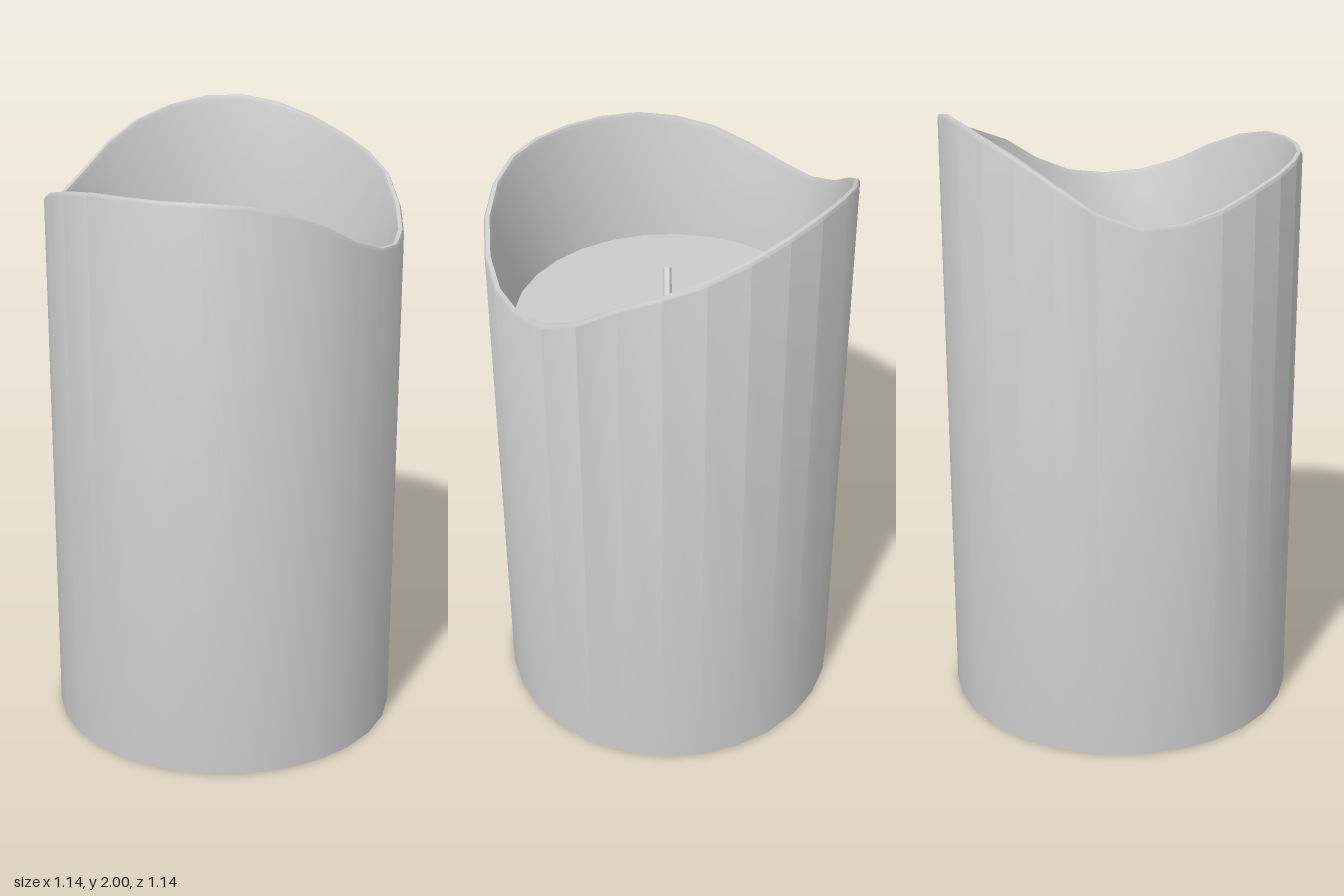
import * as THREE from 'three';
import { toCreasedNormals } from 'three/addons/utils/BufferGeometryUtils.js';

const SIDES = 28;
const FLOOR = 1.43;

// Rim heights every 15 degrees, starting at the front and turning towards +x
const RIM = [
  1.862, 1.862, 1.857, 1.825, 1.765, 1.69, 1.658, 1.66, 1.715, 1.805, 1.86, 1.91,
  1.96, 1.995, 1.998, 1.97, 1.92, 1.84, 1.755, 1.74, 1.77, 1.815, 1.845, 1.862,
];

// Smooth periodic interpolation of the rim heights
function rimHeight(angle) {
  const n = RIM.length;
  const s = ((angle / (2 * Math.PI)) * n + n) % n;
  const i = Math.floor(s), t = s - i;
  const [a, b, c, d] = [-1, 0, 1, 2].map((k) => RIM[(i + k + n) % n]);
  return b + 0.5 * t * (c - a + t * (2 * a - 5 * b + 4 * c - d + t * (3 * (b - c) + d - a)));
}

// Candle body: turned profile whose rim points (y near 2) follow the wavy edge
function bodyGeometry() {
  const profile = [
    [0, 0], [0.573, 0], [0.573, 1.99], [0.568, 2], [0.555, 2], [0.549, 1.985],
    [0.497, FLOOR], [0, FLOOR],
  ].map(([r, y]) => new THREE.Vector2(r, y));
  const geo = new THREE.LatheGeometry(profile, SIDES, Math.PI / SIDES);
  const pos = geo.attributes.position;
  for (let i = 0; i < pos.count; i++) {
    const y = pos.getY(i);
    if (y > 1.9) pos.setY(i, y - 2 + rimHeight(Math.atan2(pos.getX(i), pos.getZ(i))));
  }
  return toCreasedNormals(geo, Math.PI / 6);
}

export function createModel() {
  const group = new THREE.Group();
  group.name = 'candle';
  const material = new THREE.MeshStandardMaterial({ color: 0xcccccc });

  const body = new THREE.Mesh(bodyGeometry(), material);
  body.name = 'waxBody';
  group.add(body);

  // Short leaning wick standing on the wax floor
  const foot = new THREE.Vector3(-0.005, FLOOR - 0.01, 0.025);
  const tip = new THREE.Vector3(-0.043, FLOOR + 0.11, 0.092);
  const lean = tip.clone().sub(foot);
  const wick = new THREE.Mesh(
    toCreasedNormals(new THREE.CylinderGeometry(0.015, 0.015, lean.length(), 6), Math.PI / 6),
    material,
  );
  wick.name = 'wick';
  wick.position.copy(foot).add(tip).multiplyScalar(0.5);
  wick.quaternion.setFromUnitVectors(new THREE.Vector3(0, 1, 0), lean.normalize());
  group.add(wick);

  return group;
}
